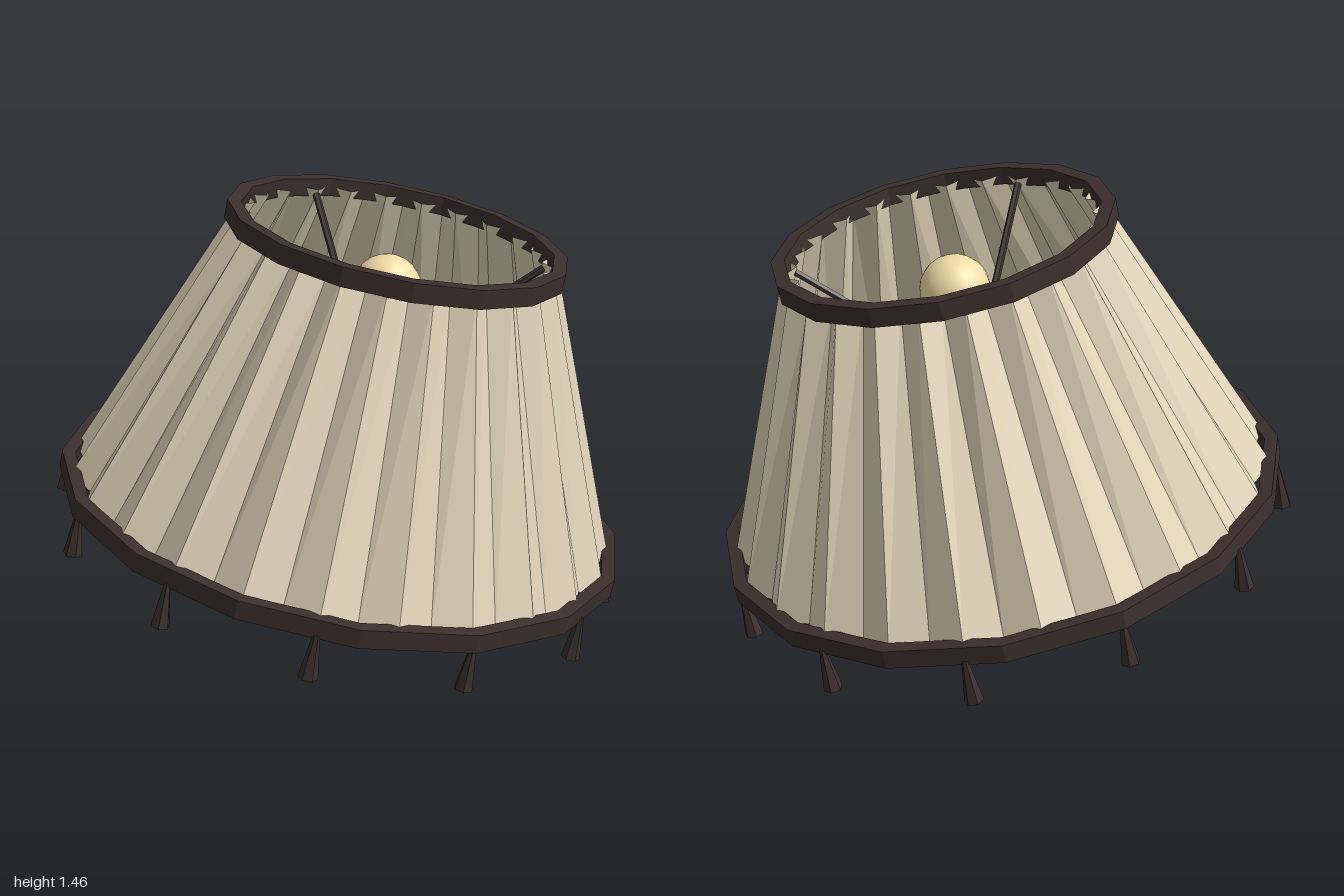
import * as THREE from 'three';

const HEIGHT = 0.985; // distance between the two rims along the shade axis
const PLEATS = 24;

const flat = (color, side = THREE.FrontSide) =>
  new THREE.MeshStandardMaterial({ color, flatShading: true, side });

function named(name, geometry, material) {
  const mesh = new THREE.Mesh(geometry, material);
  mesh.name = name;
  return mesh;
}

// Sixteen-sided band with a rectangular section
function rim(name, outer, y, material) {
  const inner = outer - 0.047, h = 0.032;
  const section = [[inner, -h], [outer, -h], [outer, h], [inner, h], [inner, -h]];
  const geometry = new THREE.LatheGeometry(section.map(([r, v]) => new THREE.Vector2(r, v)), 16);
  const mesh = named(name, geometry, material);
  mesh.position.y = y;
  return mesh;
}

// Open cone whose every second edge is pushed inward to form pleats
function pleatedShade(material) {
  const sides = PLEATS * 2;
  const geometry = new THREE.CylinderGeometry(0.55, 0.96, HEIGHT, sides, 1, true);
  const p = geometry.attributes.position;
  for (let i = 0; i < p.count; i++) {
    if ((i % (sides + 1)) % 2 === 0) continue;
    const x = p.getX(i), z = p.getZ(i);
    const k = 1 - 0.052 / Math.hypot(x, z);
    p.setX(i, x * k);
    p.setZ(i, z * k);
  }
  geometry.translate(0, HEIGHT / 2, 0);
  return named('pleatedShade', geometry, material);
}

// Thin straight rod between two points
function rod(name, a, b, radius, material) {
  const dir = b.clone().sub(a);
  const mesh = named(name, new THREE.CylinderGeometry(radius, radius, dir.length(), 6), material);
  mesh.position.copy(a).lerp(b, 0.5);
  mesh.quaternion.setFromUnitVectors(new THREE.Vector3(0, 1, 0), dir.normalize());
  return mesh;
}

export function createModel() {
  const cream = flat(0xe0d4b8, THREE.DoubleSide);
  const dark = flat(0x3b2f2c);
  const glow = new THREE.MeshStandardMaterial({ color: 0xf0dca5 });

  // Whole lampshade leans to one side and slightly backward
  const lampshade = new THREE.Group();
  lampshade.name = 'lampshade';
  lampshade.position.y = 0.345;
  lampshade.rotation.set(-0.09, 0, -0.17);

  lampshade.add(pleatedShade(cream));
  lampshade.add(rim('bottomRim', 0.995, 0, dark));
  lampshade.add(rim('topRim', 0.582, HEIGHT, dark));

  // Bulb and its socket
  const bulb = named('bulb', new THREE.SphereGeometry(0.12, 20, 14), glow);
  bulb.position.y = 0.8;
  const socket = named('socket', new THREE.CylinderGeometry(0.085, 0.115, 0.24, 8), dark);
  socket.position.y = 0.57;
  lampshade.add(bulb, socket);

  // Three arms from the top rim down to the socket
  for (let i = 0; i < 3; i++) {
    const a = THREE.MathUtils.degToRad(97.5 + i * 120);
    const end = new THREE.Vector3(Math.cos(a) * 0.51, 0.965, Math.sin(a) * 0.51);
    lampshade.add(rod('supportArm', end, new THREE.Vector3(0, 0.47, 0), 0.013, dark));
  }

  // Twelve tassels hanging from the bottom rim
  const tasselGeometry = new THREE.CylinderGeometry(0.011, 0.032, 0.15, 6);
  for (let i = 0; i < 12; i++) {
    const a = THREE.MathUtils.degToRad(15 + i * 30);
    const tassel = named('tassel', tasselGeometry, dark);
    tassel.position.set(Math.cos(a) * 0.975, -0.095, Math.sin(a) * 0.975);
    tassel.rotation.y = -a;
    lampshade.add(tassel);
  }

  const model = new THREE.Group();
  model.name = 'tiltedLampshade';
  model.add(lampshade);
  return model;
}
